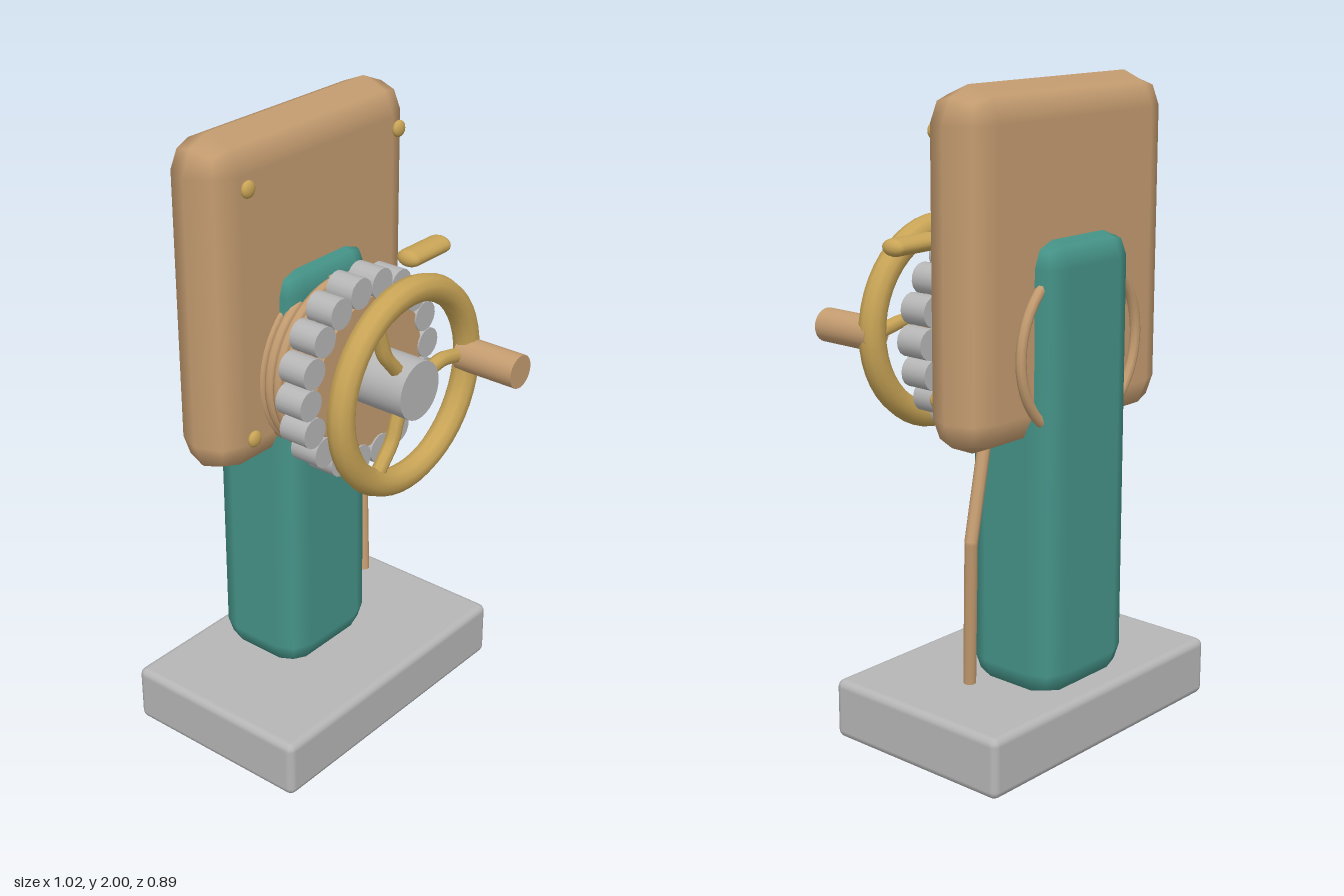
import * as THREE from 'three';
import { RoundedBoxGeometry } from 'three/addons/geometries/RoundedBoxGeometry.js';

export function createModel() {
  const model = new THREE.Group();
  model.name = 'crankMachine';

  const material = (name, color) => {
    const m = new THREE.MeshStandardMaterial({ color });
    m.name = name;
    return m;
  };
  const tan = material('tan', 0xc49c70);
  const brass = material('brass', 0xc8a456);
  const teal = material('teal', 0x459388);
  const grey = material('grey', 0xb6b6b6);

  const add = (name, geometry, mat, x = 0, y = 0, z = 0, parent = model) => {
    const mesh = new THREE.Mesh(geometry, mat);
    mesh.name = name;
    mesh.position.set(x, y, z);
    parent.add(mesh);
    return mesh;
  };
  // cylinder lying along z between z0 and z1
  const zCylinder = (r, z0, z1, sides) =>
    new THREE.CylinderGeometry(r, r, z1 - z0, sides).rotateX(Math.PI / 2).translate(0, 0, (z0 + z1) / 2);
  const v = (x, y, z) => new THREE.Vector3(x, y, z);

  const axisY = 1.23;

  // body
  add('base', new RoundedBoxGeometry(1.02, 0.19, 0.655, 2, 0.025), grey, 0, 0.095, -0.115);
  add('column', new RoundedBoxGeometry(0.4, 1.4, 0.335, 1, 0.085), teal, 0, 0.865, -0.208);
  add('backPanel', new RoundedBoxGeometry(0.89, 1.045, 0.22, 1, 0.105), tan, 0, 1.4775, -0.2);

  // flat round studs at the panel corners
  for (const x of [-0.335, 0.335]) {
    for (const y of [1.09, 1.865]) {
      add('stud', new THREE.SphereGeometry(0.026, 16, 12), brass, x, y, -0.063).scale.z = 0.55;
    }
  }

  // drum wound with rings
  const drum = new THREE.Group();
  drum.name = 'drum';
  drum.position.y = axisY;
  model.add(drum);
  add('drumCore', zCylinder(0.245, -0.09, 0.102, 40), tan, 0, 0, 0, drum);
  for (let i = 0; i < 13; i++) {
    add('windingRing', new THREE.TorusGeometry(0.264, 0.016, 8, 48), tan, 0, 0, 0.068 - i * 0.0325, drum);
  }

  // ring of rounded teeth
  const gear = new THREE.Group();
  gear.name = 'gear';
  gear.position.y = axisY;
  model.add(gear);
  const toothGeometry = zCylinder(0.048, 0.012, 0.107, 16);
  for (let i = 0; i < 18; i++) {
    const a = (i * Math.PI) / 9;
    add('tooth', toothGeometry, grey, 0.278 * Math.cos(a), 0.278 * Math.sin(a), 0, gear).rotation.z = a;
  }

  // hand wheel with bent spokes
  const wheel = new THREE.Group();
  wheel.name = 'handWheel';
  wheel.position.y = axisY;
  model.add(wheel);
  add('hub', zCylinder(0.092, 0.09, 0.287, 32), grey, 0, 0, 0, wheel);
  add('rim', new THREE.TorusGeometry(0.3, 0.042, 10, 48), brass, 0, 0, 0.237, wheel);
  const spokePath = new THREE.CatmullRomCurve3([
    v(0.05, 0, 0.237), v(0.11, 0.012, 0.237), v(0.17, 0.022, 0.237), v(0.23, 0.012, 0.237), v(0.29, 0, 0.237),
  ]);
  const spokeGeometry = new THREE.TubeGeometry(spokePath, 16, 0.023, 8);
  for (let i = 0; i < 3; i++) {
    add('spoke', spokeGeometry, brass, 0, 0, 0, wheel).rotation.z = (i * Math.PI * 2) / 3;
  }
  add('crankGrip', zCylinder(0.053, 0.23, 0.443, 24), tan, 0.29, 0, 0, wheel);

  // flattened lever beside the gear
  const lever = add('lever', new THREE.CapsuleGeometry(0.027, 0.146, 6, 16).rotateZ(Math.PI / 2), brass, 0.29, 1.522, 0.075);
  lever.scale.z = 1.55;

  // bent rod hanging under the panel
  const rodPoints = [v(0.295, 1.0, -0.215), v(0.385, 0.705, -0.24), v(0.35, 0.25, -0.2)];
  for (let i = 0; i < 2; i++) {
    const a = rodPoints[i], b = rodPoints[i + 1];
    const dir = b.clone().sub(a);
    const mid = a.clone().add(b).multiplyScalar(0.5);
    const rod = add('hangingRod', new THREE.CylinderGeometry(0.02, 0.02, dir.length(), 10), tan, mid.x, mid.y, mid.z);
    rod.quaternion.setFromUnitVectors(v(0, 1, 0), dir.normalize());
  }
  add('rodBend', new THREE.SphereGeometry(0.02, 10, 8), tan, ...rodPoints[1].toArray());

  return model;
}
